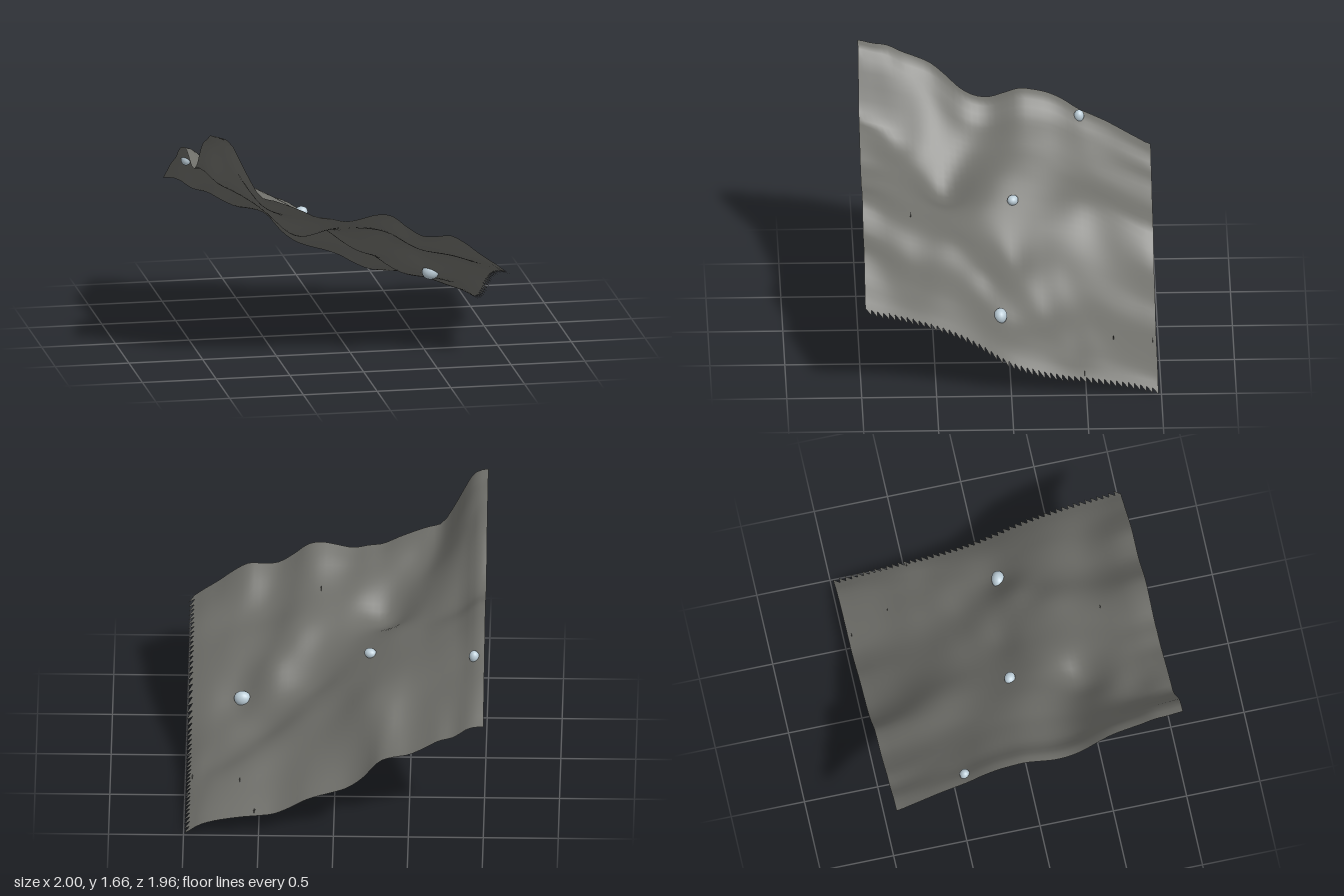
import * as THREE from 'three';

// Height profiles along the four borders, evenly spaced from -1 to 1
const FRONT = [1.67, 1.625, 1.43, 1.25, 1.21, 1.17, 1.125, 1.075, 1.06, 1.04, 1.06, 1.08, 1.065, 0.985, 0.92, 0.91, 0.91, 0.85, 0.77, 0.7, 0.63];
const BACK = [0.866, 0.85, 0.78, 0.75, 0.69, 0.64, 0.62, 0.58, 0.46, 0.38, 0.34, 0.31, 0.27, 0.21, 0.165, 0.15, 0.14, 0.125, 0.105, 0.07, 0.005];
const HIGH = [0.866, 0.92, 0.98, 1.04, 1.09, 1.14, 1.21, 1.26, 1.285, 1.295, 1.265, 1.235, 1.245, 1.3, 1.4, 1.49, 1.54, 1.58, 1.63, 1.645, 1.67];
const LOW = [0.005, 0.03, 0.05, 0.065, 0.08, 0.095, 0.105, 0.12, 0.14, 0.17, 0.21, 0.27, 0.34, 0.4, 0.45, 0.49, 0.525, 0.555, 0.58, 0.6, 0.63];

// Inner mounds and hollows: x, z, height, radius in x, radius in z
const BUMPS = [
  // upper mound and the basin below the steep bank
  [-0.4, 0.06, 0.12, 0.35, 0.28],
  [-0.37, 0.44, -0.16, 0.2, 0.2],
  [-0.57, 0.75, -0.1, 0.18, 0.18],
  [0.11, 0.66, -0.06, 0.22, 0.22],
  // shelf at the back and the shoulder above it
  [-0.2, -0.54, 0.12, 0.24, 0.28],
  [-0.62, -0.35, 0.03, 0.2, 0.25],
  // front ridge and the hollows beside it
  [0.28, 0.32, 0.06, 0.15, 0.2],
  [0.45, 0.13, 0.06, 0.13, 0.13],
  [0.65, 0.04, -0.05, 0.16, 0.15],
  [0.58, 0.67, -0.1, 0.28, 0.2],
  // diagonal gully
  [0.15, -0.02, -0.05, 0.18, 0.12],
  [0.47, -0.22, -0.06, 0.2, 0.14],
  [0.76, -0.42, -0.04, 0.2, 0.14],
  // ridge behind the gully
  [0.2, -0.35, 0.03, 0.2, 0.14],
  [0.55, -0.54, 0.03, 0.2, 0.14],
];

const Z0 = -0.98, Z1 = 0.975;

// Smooth interpolation through an evenly spaced profile
function sample(p, t) {
  const f = THREE.MathUtils.clamp(t, 0, 1) * (p.length - 1);
  const i = Math.min(Math.floor(f), p.length - 2), u = f - i;
  const a = p[Math.max(i - 1, 0)], b = p[i], c = p[i + 1], d = p[Math.min(i + 2, p.length - 1)];
  return b + 0.5 * u * (c - a + u * (2 * a - 5 * b + 4 * c - d + u * (3 * (b - c) + d - a)));
}

// Profile that loses its fine detail with distance from its own border
function soft(p, t, distance) {
  const w = Math.min(0.1 * Math.min(1, distance * 2.5), t, 1 - t);
  let sum = 0;
  for (let k = -2; k <= 2; k++) sum += sample(p, t + (k * w) / 2);
  return sum / 5;
}

// Ground height: a patch blended between the borders, plus the bumps
function height(x, z) {
  const s = (x + 1) / 2, t = (z - Z0) / (Z1 - Z0), mix = THREE.MathUtils.lerp;
  const across = mix(soft(HIGH, t, s), soft(LOW, t, 1 - s), s);
  const along = mix(soft(BACK, s, t), soft(FRONT, s, 1 - t), t);
  const corners = mix(mix(BACK[0], BACK[20], s), mix(FRONT[0], FRONT[20], s), t);
  const fade = (1 - x ** 8) * (1 - (2 * t - 1) ** 8);
  let y = across + along - corners;
  for (const [bx, bz, h, rx, rz] of BUMPS) {
    y += fade * h * Math.exp(-(((x - bx) / rx) ** 2) - ((z - bz) / rz) ** 2);
  }
  return Math.max(y, 0);
}

// Grid of ground; the last column keeps one triangle per cell, leaving a toothed rim
function groundGeometry(nx, nz) {
  const pos = [], index = [];
  for (let j = 0; j <= nz; j++) {
    for (let i = 0; i <= nx; i++) {
      const x = -1 + (2 * i) / nx, z = Z0 + ((Z1 - Z0) * j) / nz;
      pos.push(x, height(x, z), z);
    }
  }
  for (let j = 0; j < nz; j++) {
    for (let i = 0; i < nx; i++) {
      const a = j * (nx + 1) + i, b = a + 1, c = a + nx + 1, d = c + 1;
      index.push(a, c, b);
      if (i < nx - 1) index.push(b, c, d);
    }
  }
  const geo = new THREE.BufferGeometry();
  geo.setAttribute('position', new THREE.Float32BufferAttribute(pos, 3));
  geo.setIndex(index);
  geo.computeVertexNormals();
  return geo;
}

export function createModel() {
  const model = new THREE.Group();
  const rock = new THREE.MeshStandardMaterial({ color: 0x6e6e69, side: THREE.DoubleSide });
  rock.name = 'grey rock';
  const pale = new THREE.MeshStandardMaterial({ color: 0xbccdd7 });
  pale.name = 'pale stone';
  const twig = new THREE.MeshStandardMaterial({ color: 0x6e6e69 });
  twig.name = 'twig grey';

  const ground = new THREE.Mesh(groundGeometry(50, 49), rock);
  ground.name = 'hillside';
  model.add(ground);

  // Rounded boulders half sunk in the slope: x, y, z, radii, turn
  const ball = new THREE.SphereGeometry(1, 20, 14);
  [
    [-0.93, 1.118, -0.5, 0.034, 0.042, 0.034, 0.5],
    [-0.23, 0.847, -0.04, 0.042, 0.034, 0.036, -0.5],
    [0.625, 0.415, 0.065, 0.057, 0.052, 0.045, -0.1],
  ].forEach(([x, y, z, rx, ry, rz, turn]) => {
    const boulder = new THREE.Mesh(ball, pale);
    boulder.name = 'boulder';
    boulder.position.set(x, y, z);
    boulder.scale.set(rx, ry, rz);
    boulder.rotation.y = turn;
    model.add(boulder);
  });

  // Tiny sprigs: a stem with two side twigs
  const stem = new THREE.CylinderGeometry(0.0015, 0.003, 0.04, 5);
  const side = new THREE.CylinderGeometry(0.001, 0.0015, 0.012, 4);
  [[0.63, -0.69], [0.53, -0.955], [0.11, 0.65], [0.95, -0.49]].forEach(([x, z]) => {
    const sprig = new THREE.Group();
    sprig.name = 'sprig';
    sprig.add(new THREE.Mesh(stem, twig));
    for (const s of [-1, 1]) {
      const branch = new THREE.Mesh(side, twig);
      branch.position.set(s * 0.004, 0.005, 0);
      branch.rotation.z = -s * 0.8;
      sprig.add(branch);
    }
    sprig.children.forEach((m) => { m.name = 'twig'; });
    sprig.position.set(x, height(x, z) + 0.016, z);
    model.add(sprig);
  });

  return model;
}
